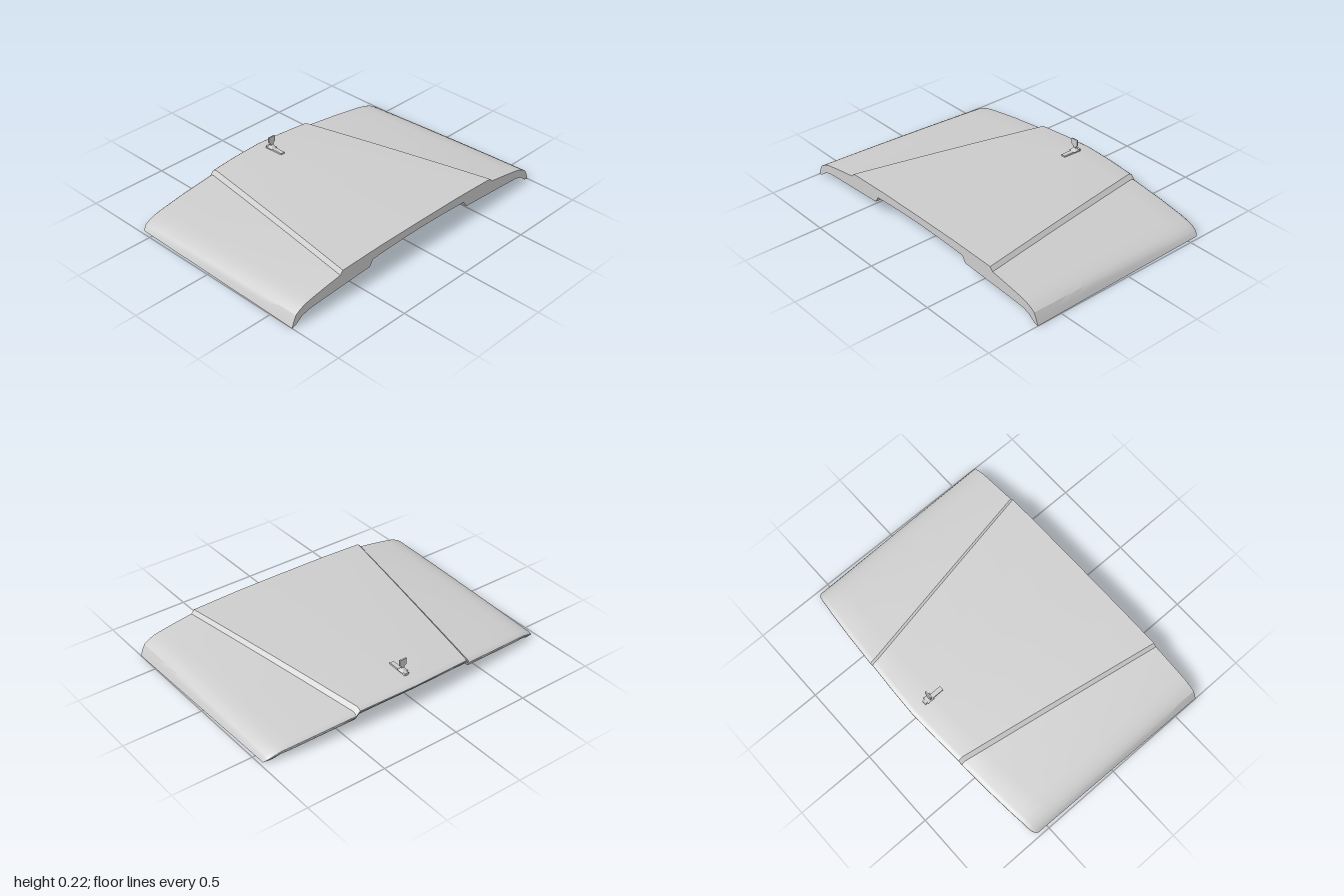
import * as THREE from 'three';
import { toCreasedNormals } from 'three/addons/utils/BufferGeometryUtils.js';

const lerp = THREE.MathUtils.lerp;

// Half cross-sections from the centre line outwards:
// [top x, top y] at the wide end, [x, y, z] at the nose edge, underside y at wide end and nose
const columns = [
  [0, 0.183, 0, 0.132, -0.665, 0.135, 0.096],
  [0.32, 0.182, 0.2, 0.129, -0.657, 0.131, 0.091],
  [0.62, 0.173, 0.385, 0.122, -0.645, 0.122, 0.081],
  [0.64, 0.15, 0.41, 0.098, -0.643, 0.083, 0.055],
  [0.75, 0.134, 0.64, 0.083, -0.627, 0.07, 0.04],
  [0.85, 0.117, 0.82, 0.068, -0.61, 0.06, 0.025],
  [0.9, 0.107, 0.88, 0.06, -0.602, 0.055, 0.02],
  [0.94, 0.09, 0.925, 0.048, -0.597, 0.042, 0.008],
  [0.97, 0.07, 0.955, 0.032, -0.59, 0.02, 0.003],
  [0.985, 0.04, 0.97, 0.016, -0.58, 0.008, 0.001],
  [1, 0, 0.98, 0, -0.57, 0, 0],
];

// Rounded nose lip: [set-back from the edge, share of the drop to the underside]
const lip = [[0.012, 0.12], [0, 0.35], [0, 0.55], [0.012, 1]];
const STEPS = 10, FRONT = 0.665, SETBACK = 0.03;

// One lengthwise loop: along the top, round the lip, back along the underside
function columnLoop([fx, fy, nx, ny, nz, bf, bn], outer) {
  const loop = [];
  const bulge = (t) => (outer ? 0 : 0.016 * t * (1 - t));
  for (let i = 0; i <= STEPS; i++) {
    const t = i / STEPS;
    loop.push([lerp(fx, nx, t), lerp(fy, ny, t) + bulge(t), lerp(FRONT, nz + SETBACK, t)]);
  }
  for (const [back, drop] of lip) loop.push([nx, lerp(ny, bn, drop), nz + back]);
  for (let i = STEPS; i >= 0; i--) {
    const t = i / STEPS;
    loop.push([outer ? lerp(fx, nx, t) : nx, lerp(bf, bn, t) + bulge(t), lerp(FRONT, nz + SETBACK, t)]);
  }
  return loop;
}

function panelGeometry() {
  const half = columns.map((c, i) => columnLoop(c, i === columns.length - 1));
  const mirrored = half.slice(1).reverse().map((loop) => loop.map(([x, y, z]) => [-x, y, z]));
  const loops = [...mirrored, ...half];
  const rows = half[0].length;
  const index = [];
  for (let c = 0; c < loops.length - 1; c++) {
    for (let r = 0; r < rows; r++) {
      const s = (r + 1) % rows;
      const a = c * rows + r, b = (c + 1) * rows + r;
      const d = c * rows + s, e = (c + 1) * rows + s;
      index.push(a, b, d, b, e, d);
    }
  }
  const geometry = new THREE.BufferGeometry();
  geometry.setAttribute('position', new THREE.Float32BufferAttribute(loops.flat(2), 3));
  geometry.setIndex(index);
  return toCreasedNormals(geometry, 0.5);
}

export function createModel() {
  const group = new THREE.Group();
  const paint = new THREE.MeshStandardMaterial({ color: 0xcccccc });
  paint.name = 'light grey';

  const add = (name, geometry, parent, x = 0, y = 0, z = 0) => {
    const mesh = new THREE.Mesh(geometry, paint);
    mesh.name = name;
    mesh.position.set(x, y, z);
    parent.add(mesh);
    return mesh;
  };

  // Bonnet panel with raised centre
  add('bonnetPanel', panelGeometry(), group);

  // Small upright ornament near the nose
  const ornament = new THREE.Group();
  ornament.name = 'ornament';
  group.add(ornament);
  add('ornamentBase', new THREE.BoxGeometry(0.028, 0.016, 0.135), ornament, 0, 0.142, -0.507);
  const foot = new THREE.CylinderGeometry(0.008, 0.032, 0.022, 4).rotateY(Math.PI / 4);
  add('ornamentFoot', foot, ornament, 0, 0.16, -0.537);

  const plate = new THREE.Shape();
  plate.moveTo(-0.008, 0);
  plate.lineTo(0.008, 0);
  plate.lineTo(0.01, 0.025);
  plate.lineTo(0.024, 0.035);
  plate.lineTo(0.024, 0.073);
  plate.lineTo(-0.024, 0.073);
  plate.lineTo(-0.024, 0.035);
  plate.lineTo(-0.01, 0.025);
  plate.closePath();
  add('ornamentPlate', new THREE.ExtrudeGeometry(plate, { depth: 0.009, bevelEnabled: false }),
    ornament, 0, 0.152, -0.5415);

  return group;
}
